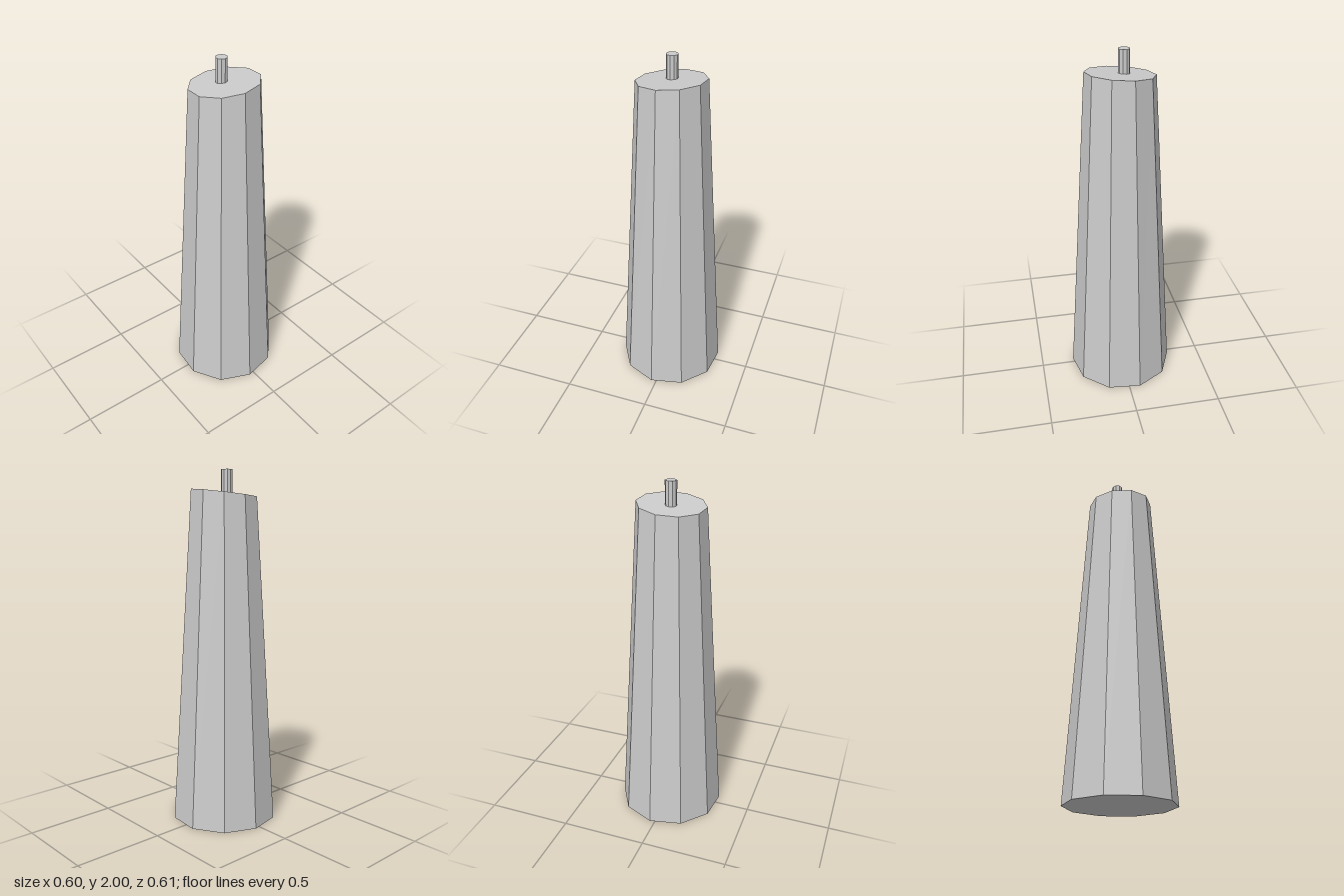
import * as THREE from 'three';

const SIDES = 10;

// Faceted tapered post standing on y = bottom
function post(name, material, rTop, rBottom, bottom, top, turn) {
  const height = top - bottom;
  const geometry = new THREE.CylinderGeometry(rTop, rBottom, height, SIDES, 1, false, turn);
  geometry.translate(0, bottom + height / 2, 0);
  const mesh = new THREE.Mesh(geometry, material);
  mesh.name = name;
  return mesh;
}

export function createModel() {
  const group = new THREE.Group();
  group.name = 'taperedPost';
  const material = new THREE.MeshStandardMaterial({ color: 0xcccccc, flatShading: true });

  // Main body, its top cut along a slightly sloping plane
  const topY = 1.873;
  const body = post('body', material, 0.19, 0.306, 0, topY, -0.1);
  const p = body.geometry.attributes.position;
  for (let i = 0; i < p.count; i++) {
    if (p.getY(i) > 1) p.setY(i, topY + 0.084 * p.getX(i) + 0.075 * p.getZ(i));
  }
  body.geometry.computeVertexNormals();
  group.add(body);

  // Small pin rising from the top, just off centre
  const pin = post('topPin', material, 0.032, 0.032, 1.86, 2, -0.03);
  pin.position.set(-0.004, 0, -0.02);
  group.add(pin);

  return group;
}
